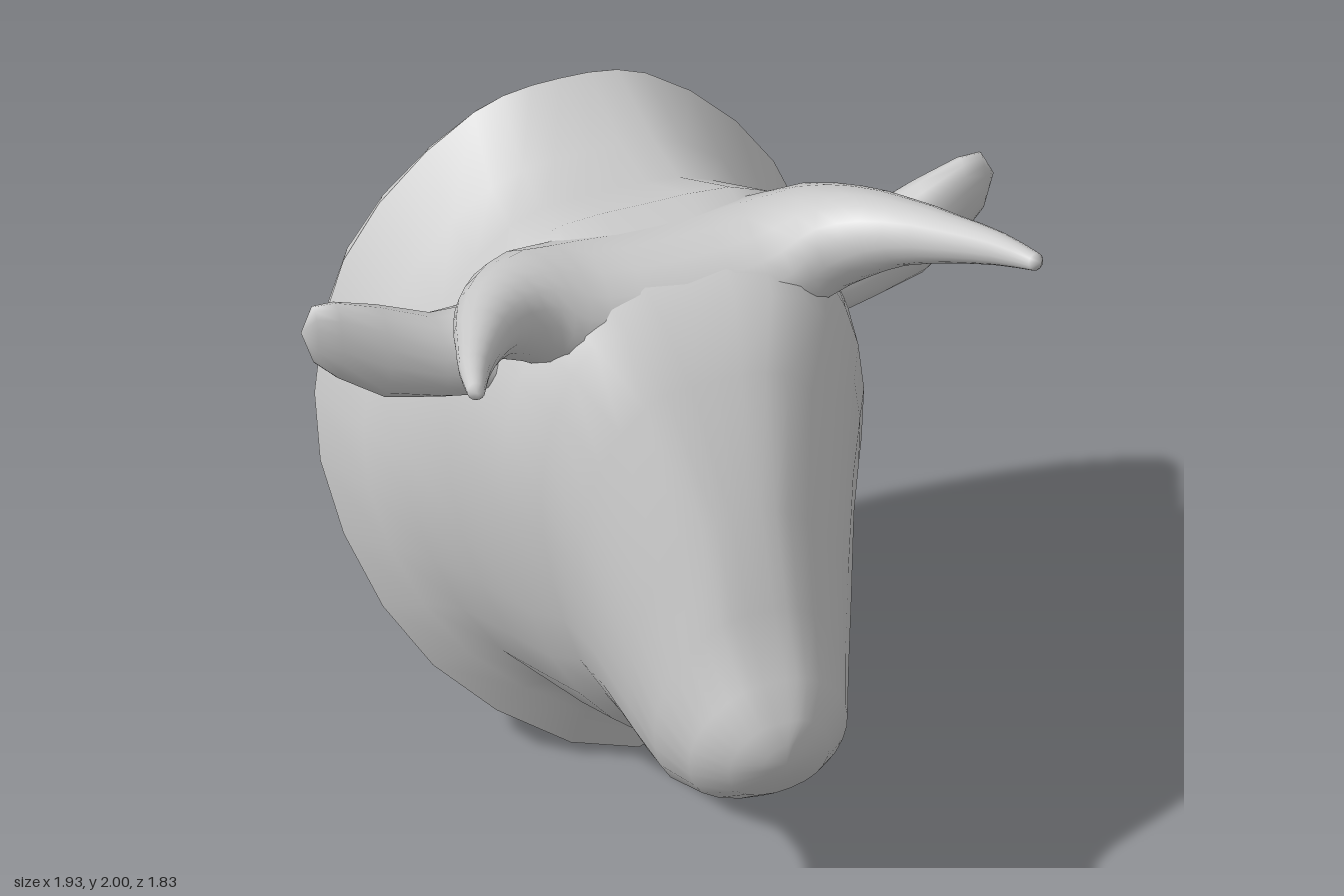
import * as THREE from 'three';

const V = (x, y, z) => new THREE.Vector3(x, y, z);

function build(pos, index) {
  const g = new THREE.BufferGeometry();
  g.setAttribute('position', new THREE.Float32BufferAttribute(pos, 3));
  g.setIndex(index);
  g.computeVertexNormals();
  return g;
}

// Smooth skin over a list of closed rings; the end (and start) may close to a point.
function skin(rings, endTip, startTip) {
  const n = rings[0].length, index = [];
  const pos = rings.flat().flatMap(p => [p.x, p.y, p.z]);
  for (let i = 0; i < rings.length - 1; i++) {
    for (let j = 0; j < n; j++) {
      const a = i * n + j, b = i * n + (j + 1) % n;
      index.push(a, a + n, b, b, a + n, b + n);
    }
  }
  const end = pos.length / 3, base = (rings.length - 1) * n;
  pos.push(endTip.x, endTip.y, endTip.z);
  for (let j = 0; j < n; j++) index.push(base + j, end, base + (j + 1) % n);
  if (startTip) {
    pos.push(startTip.x, startTip.y, startTip.z);
    for (let j = 0; j < n; j++) index.push(j, (j + 1) % n, end + 1);
  }
  return build(pos, index);
}

// Oval ring around a centre, facing along dir; rv is the upright radius, rh the sideways one.
function oval(c, dir, rv, rh, n = 16) {
  const side = V(0, 1, 0).cross(dir).normalize();
  const up = dir.clone().cross(side).normalize();
  return Array.from({ length: n }, (_, j) => {
    const a = j / n * Math.PI * 2;
    return c.clone().addScaledVector(up, rv * Math.cos(a)).addScaledVector(side, rh * Math.sin(a));
  });
}

// Stations of the head and neck: top z, top y, bottom z, bottom y,
// half widths at four heights, and how far the section bows backwards.
const STATIONS = [
  [-0.73, 1.78, -0.16, 0.00, 0.24, 0.60, 0.71, 0.50, 0.21],
  [-0.53, 1.68, -0.10, 0.15, 0.27, 0.56, 0.65, 0.45, 0.14],
  [-0.37, 1.67, -0.05, 0.22, 0.28, 0.54, 0.59, 0.39, 0.08],
  [-0.12, 1.80, 0.07, 0.23, 0.34, 0.54, 0.54, 0.34, 0.03],
  [0.14, 1.78, 0.20, 0.28, 0.33, 0.49, 0.47, 0.30, 0],
  [0.27, 1.73, 0.32, 0.39, 0.29, 0.43, 0.42, 0.28, 0],
  [0.40, 1.59, 0.42, 0.42, 0.20, 0.36, 0.37, 0.27, 0],
  [0.62, 1.31, 0.52, 0.41, 0.12, 0.27, 0.31, 0.24, 0],
  [0.72, 1.06, 0.60, 0.41, 0.11, 0.23, 0.27, 0.21, 0],
  [0.83, 0.91, 0.73, 0.47, 0.09, 0.19, 0.22, 0.17, 0],
  [0.89, 0.82, 0.83, 0.55, 0.06, 0.12, 0.14, 0.11, 0],
  [0.91, 0.76, 0.89, 0.64, 0.02, 0.05, 0.06, 0.04, 0],
];
const HEIGHTS = [0.03, 0.25, 0.55, 0.85];
const HALF = 15; // segments down each side of a section

function section([tz, ty, bz, by, ...rest]) {
  const bow = rest[4];
  const at = (f, x) => V(x, ty + (by - ty) * f, tz + (bz - tz) * f - bow * 4 * f * (1 - f));
  const left = HEIGHTS.map((f, i) => at(f, rest[i]));
  const right = HEIGHTS.map((f, i) => at(f, -rest[i])).reverse();
  const curve = new THREE.CatmullRomCurve3([at(0, 0), ...left, at(1, 0), ...right], true);
  return curve.getPoints(HALF * 2).slice(0, -1);
}

// Faceted dome closing the back: one arc per rim point, from side to side.
function backDome() {
  const rim = section(STATIONS[0]).slice(0, HALF + 1), cols = 10, pos = [], index = [];
  rim.forEach(p => {
    const f = THREE.MathUtils.clamp((1.78 - p.y) / 1.78, 0, 1);
    const depth = 0.25 * Math.pow(Math.max(0, Math.sin(Math.PI * Math.pow(f, 1.3))), 0.7);
    for (let j = 0; j <= cols; j++) {
      const a = (j / cols - 0.5) * Math.PI;
      pos.push(p.x * Math.sin(a), p.y, p.z - depth * Math.cos(a));
    }
  });
  for (let i = 0; i < HALF; i++) {
    for (let j = 0; j < cols; j++) {
      const a = i * (cols + 1) + j, c = a + cols + 1;
      index.push(a, a + 1, c, a + 1, c + 1, c);
    }
  }
  return build(pos, index);
}

// Horns and the crest joining them: one tapering sweep from tip to tip.
function hornsAndCrest() {
  // x, y, z, upright radius, depth radius
  const half = [
    [0.25, 1.66, 0.05, 0.16, 0.20], [0.40, 1.715, 0.08, 0.145, 0.17],
    [0.50, 1.765, 0.15, 0.12, 0.125], [0.58, 1.815, 0.25, 0.09, 0.09],
    [0.66, 1.875, 0.40, 0.065, 0.062], [0.73, 1.93, 0.55, 0.045, 0.042],
    [0.78, 1.972, 0.69, 0.024, 0.024],
  ];
  const mirrored = half.map(([x, ...r]) => [-x, ...r]).reverse();
  const rows = [...mirrored, [0, 1.64, 0.05, 0.165, 0.21], ...half];
  const path = new THREE.CatmullRomCurve3(rows.map(([x, y, z]) => V(x, y, z)));
  const last = rows.length - 1, rings = [];
  for (let i = 0; i <= last * 2; i++) {
    const k = Math.floor(i / 2), m = Math.ceil(i / 2), t = i / (last * 2);
    const mean = q => (rows[k][q] + rows[m][q]) / 2;
    rings.push(oval(path.getPoint(t), path.getTangent(t), mean(3), mean(4)));
  }
  return skin(rings, V(0.787, 1.985, 0.715), V(-0.787, 1.985, 0.715));
}

// Ear: flattened leaf growing sideways; x, y, z, upright radius, depth radius.
function ear(side) {
  const rings = [
    [0.42, 1.50, -0.07, 0.12, 0.14], [0.52, 1.495, -0.075, 0.12, 0.12],
    [0.60, 1.50, -0.08, 0.12, 0.10], [0.75, 1.55, -0.085, 0.14, 0.08],
    [0.87, 1.61, -0.095, 0.12, 0.052], [0.93, 1.64, -0.1, 0.09, 0.035],
  ].map(([x, y, z, rv, rh]) => oval(V(x * side, y, z), V(side, 0, 0), rv, rh));
  return skin(rings, V(0.965 * side, 1.655, -0.1));
}

export function createModel() {
  const group = new THREE.Group();
  const smooth = new THREE.MeshStandardMaterial({ color: 0xcccccc });
  const flat = new THREE.MeshStandardMaterial({ color: 0xcccccc, flatShading: true });
  const add = (name, geometry, material = smooth) => {
    const mesh = new THREE.Mesh(geometry, material);
    mesh.name = name;
    group.add(mesh);
  };

  add('headAndNeck', skin(STATIONS.map(section), V(0, 0.7, 0.91)));
  add('backDome', backDome(), flat);
  add('hornsAndCrest', hornsAndCrest());
  add('leftEar', ear(1));
  add('rightEar', ear(-1));
  return group;
}
